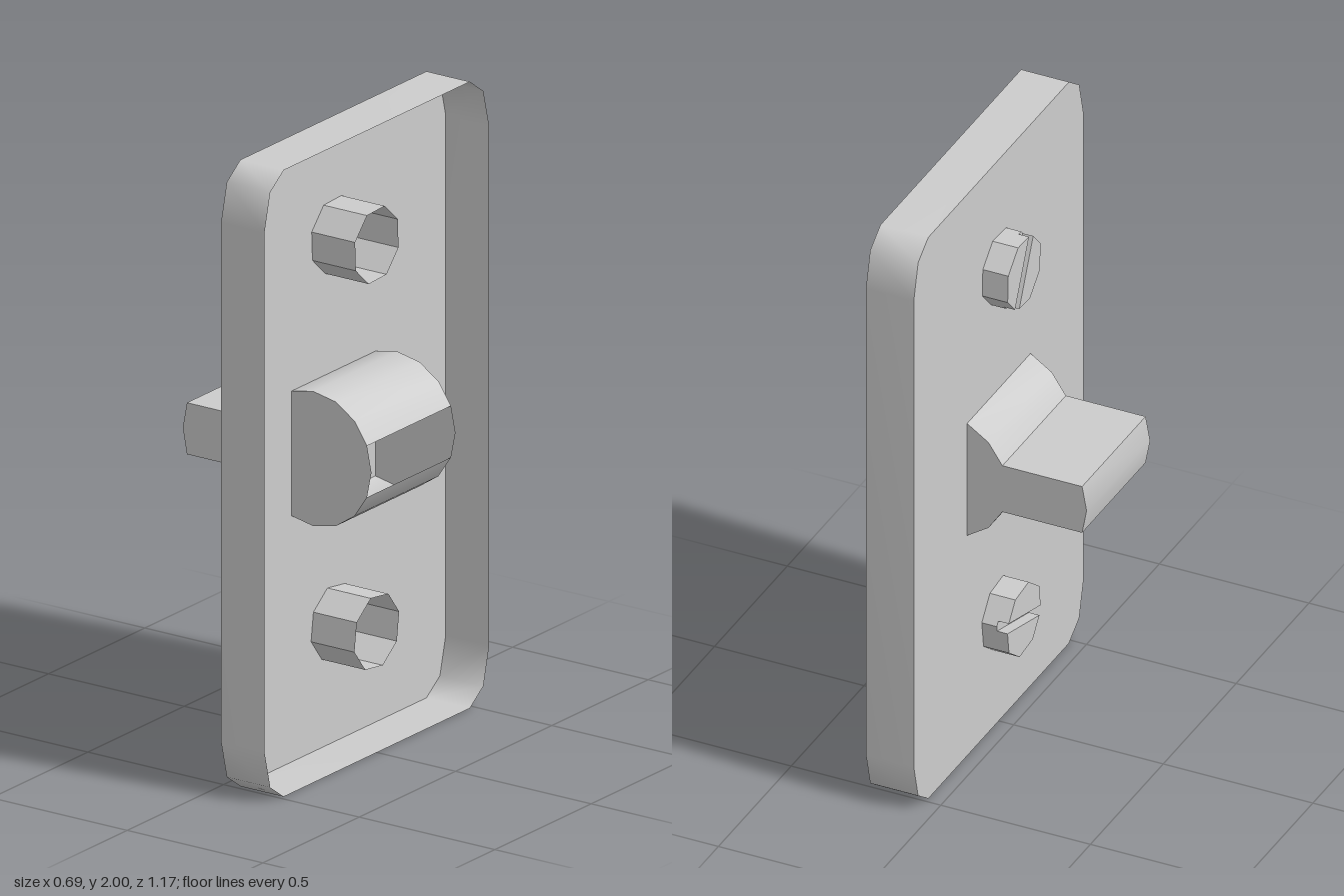
import * as THREE from 'three';

const metal = new THREE.MeshStandardMaterial({ color: 0xcccccc, side: THREE.DoubleSide });
metal.name = 'grey metal';

// Wall that sweeps a 2D path (counter-clockwise = outward) from z0 to z1
function wall(path, z0, z1, { closed = false, flat = false } = {}) {
  const n = path.length, pos = [], idx = [];
  for (const [x, y] of path) pos.push(x, y, z0, x, y, z1);
  for (let i = 0; i < (closed ? n : n - 1); i++) {
    const a = 2 * i, b = 2 * ((i + 1) % n);
    idx.push(a, b, b + 1, a, b + 1, a + 1);
  }
  let geo = new THREE.BufferGeometry();
  geo.setAttribute('position', new THREE.Float32BufferAttribute(pos, 3));
  geo.setIndex(idx);
  if (flat) geo = geo.toNonIndexed();
  geo.computeVertexNormals();
  return geo;
}

const shapeOf = (path) => new THREE.Shape(path.map(([x, y]) => new THREE.Vector2(x, y)));

function add(parent, geo, name) {
  const mesh = new THREE.Mesh(geo, metal);
  mesh.name = name;
  parent.add(mesh);
  return mesh;
}

const arc = (cx, cy, r, from, to, steps) =>
  Array.from({ length: steps + 1 }, (_, i) => {
    const a = THREE.MathUtils.degToRad(from + ((to - from) * i) / steps);
    return [cx + r * Math.cos(a), cy + r * Math.sin(a)];
  });

// Open-backed cover plate with chamfered round corners
function makePlate() {
  const plate = new THREE.Group();
  plate.name = 'coverPlate';
  const corner = [[0.583, 0.83], [0.553, 0.95], [0.483, 1]];
  const flip = (sx, sy) => corner.map(([x, y]) => [sx * x, 1 + sy * y]);
  const outline = [
    ...flip(1, 1), ...flip(-1, 1).reverse(),
    ...flip(-1, -1), ...flip(1, -1).reverse(),
  ];
  add(plate, wall(outline, -0.21, -0.05, { closed: true }), 'plateRim');
  add(plate, new THREE.ShapeGeometry(shapeOf(outline)), 'plateFace').position.z = -0.05;
  return plate;
}

// Eight-sided slotted screw with a hollow, open-ended shank
function makeScrew(y, degrees) {
  const screw = new THREE.Group();
  screw.name = 'screw';
  const r = 0.12, h = 0.016, end = r - h * Math.tan(Math.PI / 8);
  const ring = arc(0, 0, r, 0, 315, 7);
  add(screw, wall(ring, -0.21, 0, { closed: true, flat: true }), 'screwShank');
  add(screw, new THREE.CircleGeometry(r, 8), 'slotFloor');
  const half = shapeOf([[end, h], ...ring.slice(1, 4), [-end, h]]);
  for (const turn of [0, Math.PI]) {
    const geo = new THREE.ExtrudeGeometry(half, { depth: 0.035, bevelEnabled: false });
    add(screw, geo, 'screwHeadHalf').rotation.z = turn;
  }
  screw.position.y = y;
  screw.rotation.z = THREE.MathUtils.degToRad(degrees);
  return screw;
}

// Round pivot with a flat lever; the pivot is open along its back
function makeToggle() {
  const toggle = new THREE.Group();
  toggle.name = 'toggle';
  const cx = 0.13, cy = 0.985, r = 0.215, w = 0.218;
  const upper = arc(cx, cy, r, 22.5, 157.5, 6);
  const lower = arc(cx, cy, r, 202.5, 337.5, 6);
  const top = upper[6], bottom = lower[0];
  const tip = [[-0.335, top[1]], [-0.35, cy], [-0.335, bottom[1]]];
  add(toggle, wall(upper, -w, w), 'pivotTop');
  add(toggle, wall([top, tip[0]], -w, w), 'leverTop');
  add(toggle, wall(tip, -w, w), 'leverTip');
  add(toggle, wall([tip[2], bottom], -w, w), 'leverBottom');
  add(toggle, wall(lower, -w, w), 'pivotBottom');
  const side = shapeOf([...upper, ...tip, ...lower, [cx + r, cy]]);
  for (const s of [1, -1]) {
    const cap = new THREE.ShapeGeometry(side);
    if (s < 0) {
      // reverse the winding so the far side faces outward
      cap.index.array.reverse();
      cap.computeVertexNormals();
    }
    add(toggle, cap, 'toggleSide').position.z = s * w;
  }
  return toggle;
}

export function createModel() {
  const model = new THREE.Group();
  model.name = 'toggleSwitch';
  // Plate and screws are built facing +z, then turned to face -x
  const mount = new THREE.Group();
  mount.name = 'mount';
  mount.add(makePlate(), makeScrew(1.62, 65), makeScrew(0.385, -15));
  mount.rotation.y = -Math.PI / 2;
  model.add(mount, makeToggle());
  return model;
}
